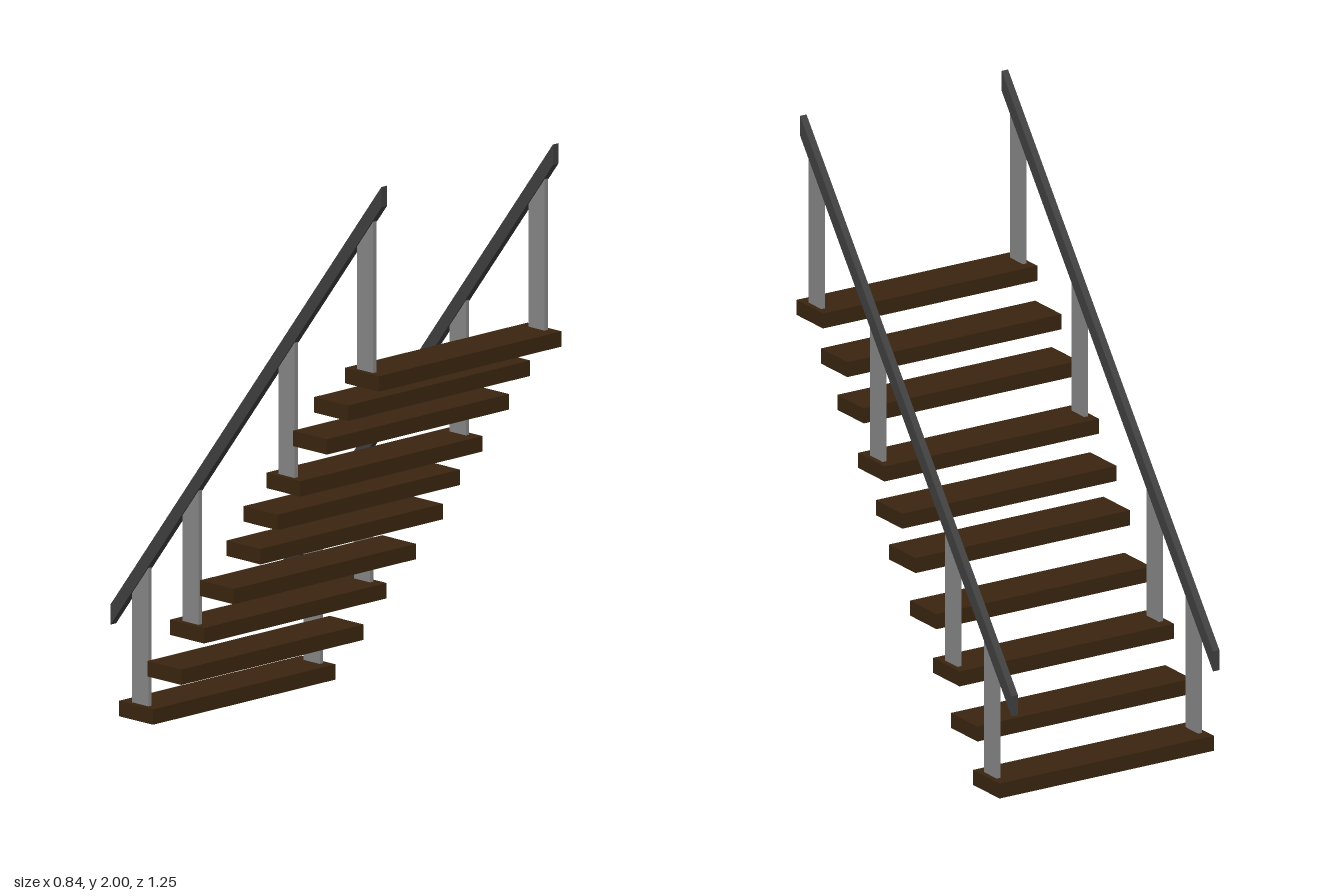
import * as THREE from 'three';

// Extrudes a side profile of [z, y] points along x, centred on x = 0
function sideProfile(points, thickness) {
  const shape = new THREE.Shape(points.map(([z, y]) => new THREE.Vector2(z, y)));
  const geo = new THREE.ExtrudeGeometry(shape, { depth: thickness, bevelEnabled: false });
  geo.translate(0, 0, -thickness / 2);
  geo.rotateY(-Math.PI / 2);
  return geo;
}

export function createModel() {
  const group = new THREE.Group();
  group.name = 'staircase';
  const wood = new THREE.MeshStandardMaterial({ color: 0x3a2510 });
  const postMetal = new THREE.MeshStandardMaterial({ color: 0x888888 });
  const railMetal = new THREE.MeshStandardMaterial({ color: 0x404040 });

  const add = (parent, geo, material, name, x = 0, y = 0, z = 0) => {
    const mesh = new THREE.Mesh(geo, material);
    mesh.name = name;
    mesh.position.set(x, y, z);
    parent.add(mesh);
  };

  // Floating treads, slightly uneven in spacing: [z, y] of each centre
  const treadHeight = 0.052;
  const treads = [
    [-0.495, 0.026], [-0.364, 0.184], [-0.258, 0.343], [-0.121, 0.5], [0.003, 0.657],
    [0.082, 0.787], [0.187, 0.919], [0.31, 1.083], [0.408, 1.214], [0.552, 1.339],
  ];
  const treadGeo = new THREE.BoxGeometry(0.836, treadHeight, 0.157);
  treads.forEach(([z, y], i) => add(group, treadGeo, wood, `tread${i + 1}`, 0, y, z));

  // Sloping handrail with plumb-cut ends
  const zLow = -0.624, zHigh = 0.63, yLow = 0.297, yHigh = 1.931, railHeight = 0.069;
  const underside = (z) => yLow + ((z - zLow) / (zHigh - zLow)) * (yHigh - yLow);
  const railGeo = sideProfile([
    [zLow, yLow], [zHigh, yHigh], [zHigh, yHigh + railHeight], [zLow, yLow + railHeight],
  ], 0.025);

  // Flat posts stand on some treads, cut to the slope of the rail
  const posts = [[0, -0.492], [2, -0.259], [6, 0.185], [9, 0.549]];
  const half = 0.0375;
  const postGeos = posts.map(([tread, z]) => {
    const foot = treads[tread][1] + treadHeight / 2;
    const a = z - half, b = z + half;
    return sideProfile([[a, foot], [b, foot], [b, underside(b)], [a, underside(a)]], 0.015);
  });

  // One balustrade on each side
  for (const [side, x] of [['left', 0.392], ['right', -0.394]]) {
    const balustrade = new THREE.Group();
    balustrade.name = `${side}Balustrade`;
    add(balustrade, railGeo, railMetal, `${side}Handrail`, x);
    postGeos.forEach((geo, i) => add(balustrade, geo, postMetal, `${side}Post${i + 1}`, x));
    group.add(balustrade);
  }
  return group;
}
